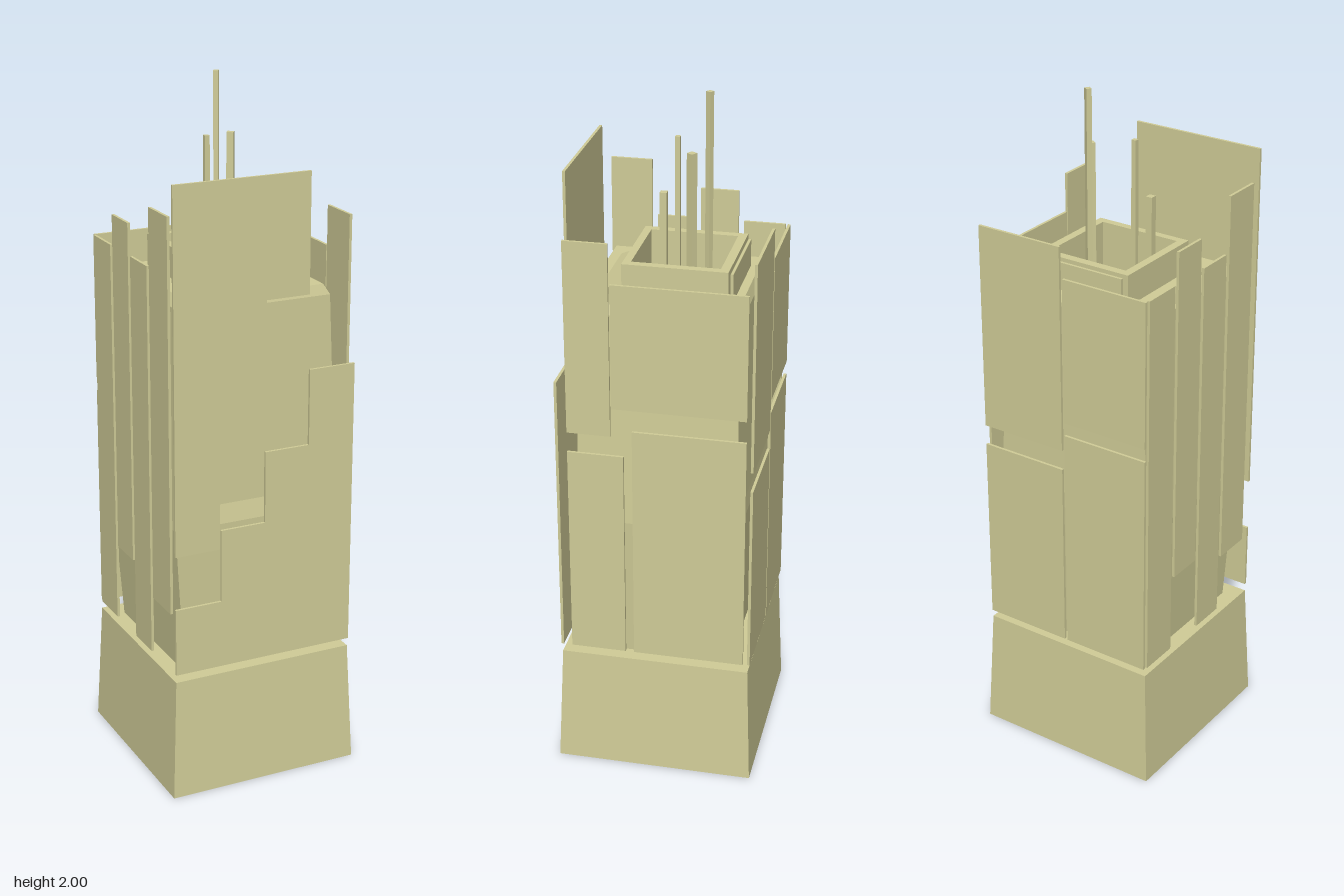
import * as THREE from 'three';

const stone = new THREE.MeshStandardMaterial({ color: 0xd1cd98, side: THREE.DoubleSide });
stone.name = 'pale sandstone';

// Rectangular rings [y, xHalf, zBack, zFront] joined into a faceted skin
function loft(name, rings) {
  const pos = [];
  const corners = rings.map(([y, x, z0, z1]) => [[-x, y, z1], [x, y, z1], [x, y, z0], [-x, y, z0]]);
  for (let i = 0; i < rings.length - 1; i++) {
    for (let k = 0; k < 4; k++) {
      const n = (k + 1) % 4;
      const a = corners[i][k], b = corners[i][n], c = corners[i + 1][n], d = corners[i + 1][k];
      pos.push(...a, ...b, ...c, ...a, ...c, ...d);
    }
  }
  const geo = new THREE.BufferGeometry();
  geo.setAttribute('position', new THREE.Float32BufferAttribute(pos, 3));
  geo.computeVertexNormals();
  return named(name, geo);
}

function named(name, geo) {
  const mesh = new THREE.Mesh(geo, stone);
  mesh.name = name;
  return mesh;
}

// Box given by its limits on each axis
function slab(name, [x0, x1], [y0, y1], [z0, z1]) {
  const mesh = named(name, new THREE.BoxGeometry(x1 - x0, y1 - y0, z1 - z0));
  mesh.position.set((x0 + x1) / 2, (y0 + y1) / 2, (z0 + z1) / 2);
  return mesh;
}

// Thin stepped plate on the front
function steppedPlate(name, points) {
  const shape = new THREE.Shape(points.map(([x, y]) => new THREE.Vector2(x, y)));
  const mesh = named(name, new THREE.ExtrudeGeometry(shape, { depth: 0.008, bevelEnabled: false }));
  mesh.position.z = 0.27;
  return mesh;
}

export function createModel() {
  const tower = new THREE.Group();
  tower.name = 'tower';

  // Tapered plinth, open underneath
  tower.add(loft('plinth', [
    [0, 0.29, -0.288, 0.288],
    [0.36, 0.274, -0.274, 0.274],
    [0.36, 0.124, -0.155, 0.093],
  ]));

  // Inner core with a shelf, a sloped front, an open collar and a shaft
  tower.add(loft('core', [
    [0.36, 0.225, -0.215, 0.223],
    [0.8, 0.254, -0.236, 0.233],
    [0.855, 0.251, -0.234, 0.223],
    [1.42, 0.223, -0.226, 0.223],
    [1.45, 0.205, -0.215, 0.215],
    [1.45, 0.148, -0.18, 0.187],
    [1.48, 0.148, -0.18, 0.115],
    [1.54, 0.148, -0.18, 0.115],
    [1.54, 0.124, -0.155, 0.093],
    [0.36, 0.124, -0.155, 0.093],
  ]));
  tower.add(slab('collarBackPlate', [-0.134, 0.134], [1.42, 1.53], [-0.191, -0.183]));

  // Two interlocking stepped front plates
  tower.add(steppedPlate('upperFrontPlate', [
    [-0.275, 0.745], [-0.14, 0.745], [-0.14, 1.095], [0, 1.095],
    [0, 1.445], [0.13, 1.445], [0.13, 1.785], [-0.275, 1.785],
  ]));
  tower.add(steppedPlate('lowerFrontPlate', [
    [-0.275, 0.385], [0.275, 0.385], [0.275, 1.23], [0.135, 1.23], [0.135, 1.01],
    [0, 1.01], [0, 0.8], [-0.135, 0.8], [-0.135, 0.585], [-0.275, 0.585],
  ]));

  // Panels on the +x side: [y range, z range]
  [
    [[1.08, 1.645], [0.121, 0.245]],
    [[1.165, 1.53], [-0.26, 0.117]],
    [[0.385, 1.02], [0.085, 0.245]],
    [[0.385, 1.1], [-0.26, 0.06]],
  ].forEach(([y, z], i) => tower.add(slab('leftPanel' + (i + 1), [0.267, 0.275], y, z)));

  // Vertical strips on the -x side
  [
    [[0.385, 1.53], [-0.266, -0.146]],
    [[0.62, 1.62], [-0.13, -0.02]],
    [[0.385, 1.53], [-0.005, 0.107]],
    [[0.56, 1.695], [0.123, 0.243]],
  ].forEach(([y, z], i) => tower.add(slab('rightStrip' + (i + 1), [-0.276, -0.268], y, z)));

  // Back panels: [x range, y range]
  [
    [[0.004, 0.272], [1.01, 1.62]],
    [[0.004, 0.272], [0.385, 0.95]],
    [[-0.272, -0.005], [1.1, 1.53]],
    [[-0.272, -0.005], [0.385, 1.06]],
  ].forEach(([x, y], i) => tower.add(slab('backPanel' + (i + 1), x, y, [-0.28, -0.272])));

  // Square masts inside the collar: [x, z, top, width, turn]
  [
    [0.032, -0.103, 2.0, 0.015, -0.55],
    [0.055, -0.06, 1.835, 0.02, -0.6],
    [-0.047, 0, 1.845, 0.014, 0],
    [-0.069, 0.045, 1.675, 0.02, 0],
  ].forEach(([x, z, top, w, turn], i) => {
    const mast = slab('mast' + (i + 1), [x - w / 2, x + w / 2], [1.3, top], [z - w / 2, z + w / 2]);
    mast.rotation.y = turn;
    tower.add(mast);
  });

  return tower;
}
